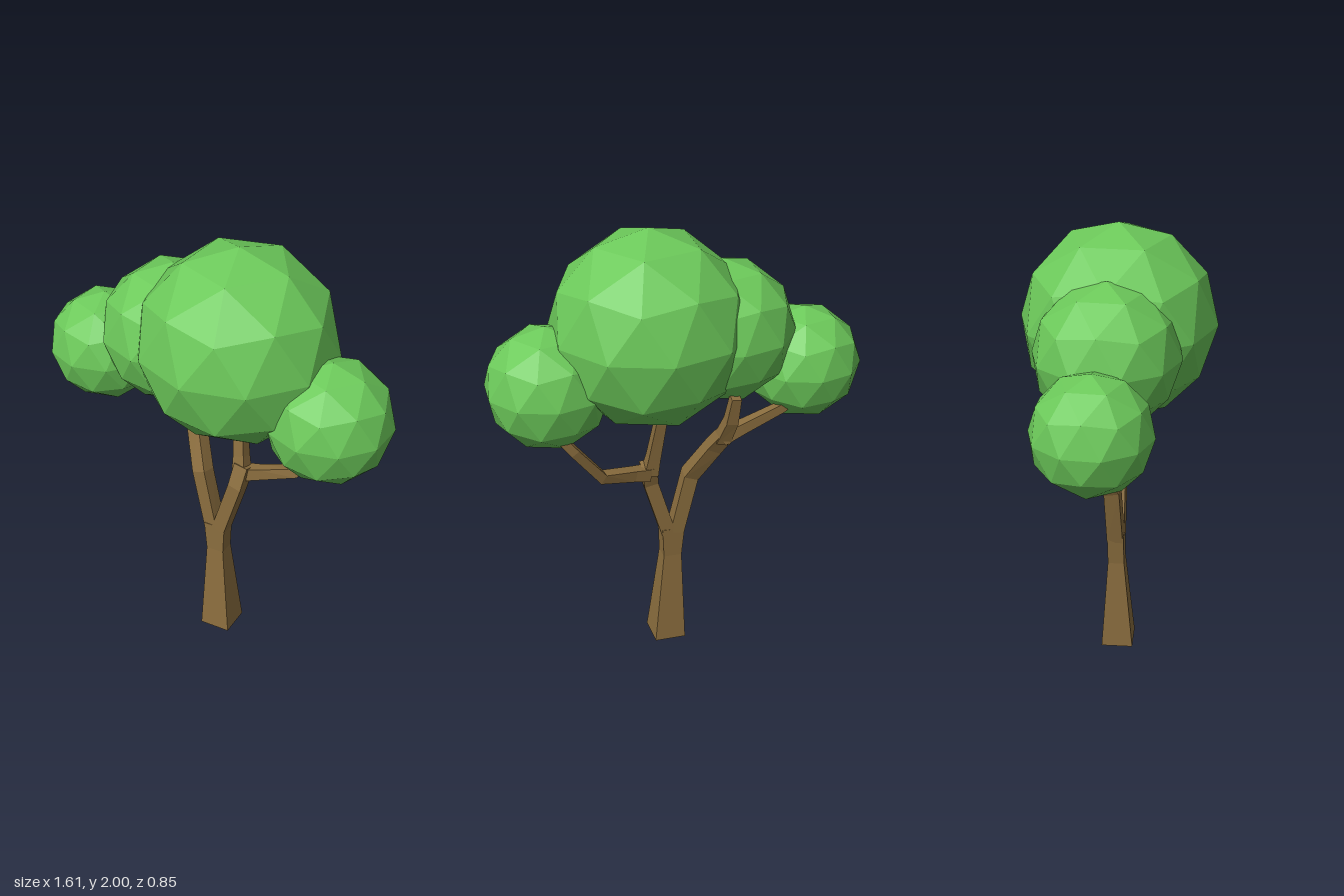
import * as THREE from 'three';

const bark = new THREE.MeshStandardMaterial({ color: 0x8a6d3e, flatShading: true });
const leaf = new THREE.MeshStandardMaterial({ color: 0x6cc95a, flatShading: true });

// Four-sided limb through stations [x, y, z, halfWidth, halfDepth]
function limb(name, stations, twist = 0) {
  const points = stations.map(([x, y, z]) => new THREE.Vector3(x, y, z));
  const last = points.length - 1;
  const positions = [];
  const index = [];
  stations.forEach(([, , , halfWidth, halfDepth = halfWidth], i) => {
    // average the directions of the neighbouring segments
    const tangent = new THREE.Vector3();
    if (i > 0) tangent.add(points[i].clone().sub(points[i - 1]).normalize());
    if (i < last) tangent.add(points[i + 1].clone().sub(points[i]).normalize());
    tangent.normalize();
    const depth = new THREE.Vector3(0, 0, 1).applyAxisAngle(new THREE.Vector3(0, 1, 0), twist);
    depth.addScaledVector(tangent, -depth.dot(tangent)).normalize();
    const side = tangent.clone().cross(depth);
    for (const [a, b] of [[1, 1], [1, -1], [-1, -1], [-1, 1]]) {
      const p = points[i].clone().addScaledVector(side, a * halfWidth).addScaledVector(depth, b * halfDepth);
      positions.push(p.x, p.y, p.z);
    }
  });
  for (let i = 0; i < last; i++) {
    for (let k = 0; k < 4; k++) {
      const a = i * 4 + k;
      const b = i * 4 + (k + 1) % 4;
      index.push(a, b, b + 4, a, b + 4, a + 4);
    }
  }
  const top = last * 4;
  index.push(0, 3, 2, 0, 2, 1, top, top + 1, top + 2, top, top + 2, top + 3);

  const indexed = new THREE.BufferGeometry();
  indexed.setAttribute('position', new THREE.Float32BufferAttribute(positions, 3));
  indexed.setIndex(index);
  const geometry = indexed.toNonIndexed();
  geometry.computeVertexNormals();
  const mesh = new THREE.Mesh(geometry, bark);
  mesh.name = name;
  return mesh;
}

// Faceted ball of leaves standing on one corner
function foliage(name, x, y, z, radius) {
  const geometry = new THREE.IcosahedronGeometry(radius, 1);
  geometry.rotateZ(-Math.atan(2 / (1 + Math.sqrt(5))));
  const mesh = new THREE.Mesh(geometry, leaf);
  mesh.name = name;
  mesh.position.set(x, y, z);
  return mesh;
}

export function createModel() {
  const tree = new THREE.Group();
  tree.name = 'tree';

  // Trunk and the two main branches
  tree.add(
    limb('trunk', [
      [0.045, 0.005, 0.01, 0.072],
      [0.023, 0.45, 0.006, 0.042, 0.037],
      [0.018, 0.59, 0.005, 0.052, 0.036],
    ], 0.06),
    limb('leftBranch', [
      [0, 0.57, 0.005, 0.032, 0.036],
      [-0.066, 0.85, 0, 0.033, 0.035],
      [-0.15, 1.02, -0.08, 0.033, 0.032],
      [-0.185, 1.1, -0.13, 0.03],
    ]),
    limb('rightBranch', [
      [0.038, 0.57, 0.005, 0.032, 0.036],
      [0.118, 0.84, 0, 0.032, 0.035],
      [0.13, 0.94, -0.03, 0.033],
    ]),
  );

  // Twigs reaching into the foliage
  tree.add(
    limb('leftOuterTwig', [[-0.17, 1.085, -0.125, 0.03], [-0.26, 1.125, -0.13, 0.025], [-0.44, 1.19, -0.115, 0.02], [-0.5, 1.23, -0.1, 0.018]]),
    limb('leftUpperTwig', [[-0.175, 1.07, -0.12, 0.03], [-0.2, 1.18, -0.165, 0.026], [-0.21, 1.3, -0.19, 0.021]]),
    limb('rightOuterTwig', [[0.13, 0.9, -0.03, 0.03], [0.2, 0.915, -0.05, 0.026], [0.35, 0.95, -0.1, 0.023], [0.47, 1.11, -0.14, 0.02], [0.54, 1.2, -0.14, 0.018]]),
    limb('rightUpperTwig', [[0.122, 0.9, -0.025, 0.032], [0.11, 0.98, -0.04, 0.027], [0.085, 1.16, -0.07, 0.023], [0.075, 1.25, -0.08, 0.02]]),
  );

  // Crown
  tree.add(
    foliage('mainFoliage', 0.11, 1.575, 0, 0.425),
    foliage('upperLeftFoliage', -0.205, 1.535, 0, 0.31),
    foliage('outerLeftFoliage', -0.57, 1.35, 0, 0.25),
    foliage('outerRightFoliage', 0.545, 1.357, 0, 0.267),
  );

  return tree;
}
